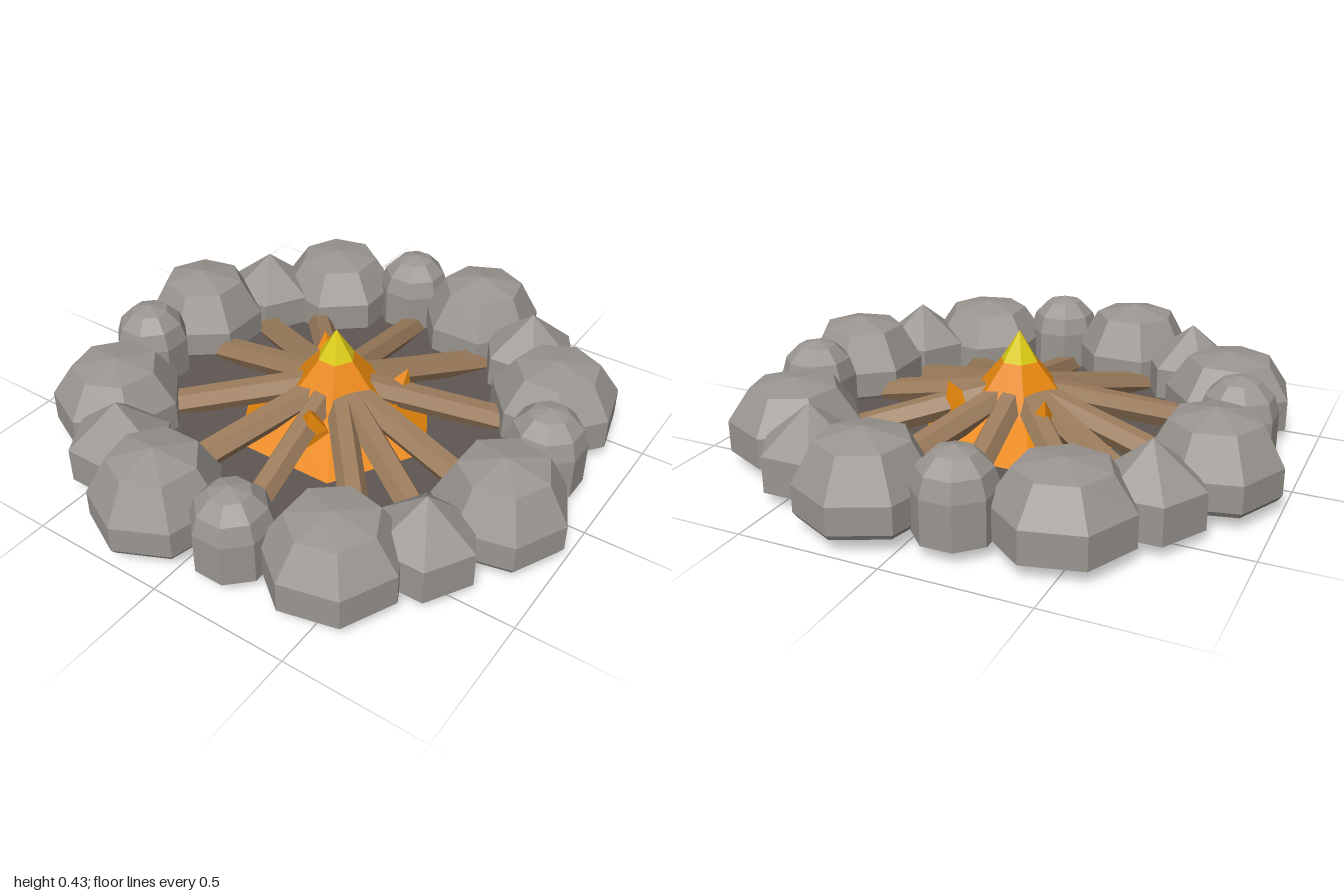
import * as THREE from 'three';

const mat = (name, color) => {
  const m = new THREE.MeshStandardMaterial({ color });
  m.name = name;
  return m;
};

// Faceted solid of revolution; first corner points at angle a (0 = +x, 90 = +z)
function faceted(profile, sides, a = 0) {
  const pts = profile.map(([r, y]) => new THREE.Vector2(r, y));
  const phi = Math.PI / 2 - THREE.MathUtils.degToRad(a);
  const g = new THREE.LatheGeometry(pts, sides, phi).toNonIndexed();
  g.computeVertexNormals();
  return g;
}

export function createModel() {
  const stone = mat('stone grey', 0x9a9590);
  const wood = mat('log brown', 0x9c7c5c);
  const ash = mat('ash', 0x5e5652);
  const orange = mat('flame orange', 0xe6860c);
  const yellow = mat('flame yellow', 0xdccb14);

  const root = new THREE.Group();
  root.name = 'campfire';
  const add = (name, geo, material, parent = root) => {
    const m = new THREE.Mesh(geo, material);
    m.name = name;
    parent.add(m);
    return m;
  };

  // Ash bed
  add('ashBed', faceted([[0, 0.052], [0.74, 0.052], [0.74, 0.062], [0, 0.062]], 16), ash);

  // Stone ring: four kinds of stone, repeated every quarter turn
  const kinds = [
    { name: 'tallStone', x: 0.77, z: 0.175, sides: 7, a: 0,
      p: [[0, 0.052], [0.215, 0.055], [0.23, 0.075], [0.23, 0.17], [0.155, 0.305], [0, 0.343]] },
    { name: 'wideStone', x: 0.66, z: -0.445, sides: 7, a: 12,
      p: [[0, 0.05], [0.235, 0.058], [0.235, 0.17], [0.155, 0.285], [0, 0.312]] },
    { name: 'smallStone', x: 0.77, z: -0.14, sides: 8, a: 22.5,
      p: [[0, 0.05], [0.14, 0.052], [0.14, 0.205], [0.12, 0.27], [0.07, 0.32], [0, 0.34]] },
    { name: 'pointedStone', x: 0.65, z: 0.455, sides: 6, a: 0, fixed: true,
      p: [[0, 0.05], [0.18, 0.052], [0.18, 0.18], [0, 0.326]] },
  ];
  const ring = new THREE.Group();
  ring.name = 'stoneRing';
  root.add(ring);
  for (const k of kinds) {
    const geo = faceted(k.p, k.sides, k.a);
    let [x, z] = [k.x, k.z];
    for (let i = 0; i < 4; i++) {
      const m = add(k.name, geo, stone, ring);
      m.position.set(x, 0, z);
      if (!k.fixed) m.rotation.y = -i * Math.PI / 2;
      [x, z] = [-z, x];
    }
  }

  // Logs leaning in towards the fire
  const logs = new THREE.Group();
  logs.name = 'logs';
  root.add(logs);
  const outer = new THREE.Vector3(0.73, 0.05, 0);
  const inner = new THREE.Vector3(0.06, 0.215, 0);
  const dir = inner.clone().sub(outer);
  const logGeo = new THREE.CylinderGeometry(0.05, 0.05, dir.length(), 6).toNonIndexed();
  logGeo.computeVertexNormals();
  logGeo.applyQuaternion(new THREE.Quaternion().setFromUnitVectors(
    new THREE.Vector3(0, 1, 0), dir.clone().normalize()));
  logGeo.translate((outer.x + inner.x) / 2, (outer.y + inner.y) / 2, 0);
  for (const a of [8, 30, 49, 83, 114, 150]) {
    for (const turn of [0, 180]) {
      add('log', logGeo, wood, logs).rotation.y = -THREE.MathUtils.degToRad(a + turn);
    }
  }

  // Main flame with a yellow tip
  add('flame', faceted([[0, 0.058], [0.39, 0.06], [0.2, 0.175], [0.07, 0.33]], 6), orange);
  add('flameTip', faceted([[0.07, 0.33], [0, 0.44]], 6), yellow);

  // Side flames leaning outwards
  const spike = faceted([[0, 0], [0.075, 0.02], [0.055, 0.1], [0, 0.2]], 4);
  for (const a of [-134, -36, 77]) {
    const pivot = new THREE.Group();
    pivot.name = 'sideFlame';
    pivot.rotation.y = -THREE.MathUtils.degToRad(a);
    const m = add('sideFlameSpike', spike, orange, pivot);
    m.position.set(0.19, 0.08, 0);
    m.rotation.z = -0.35;
    root.add(pivot);
  }
  return root;
}
